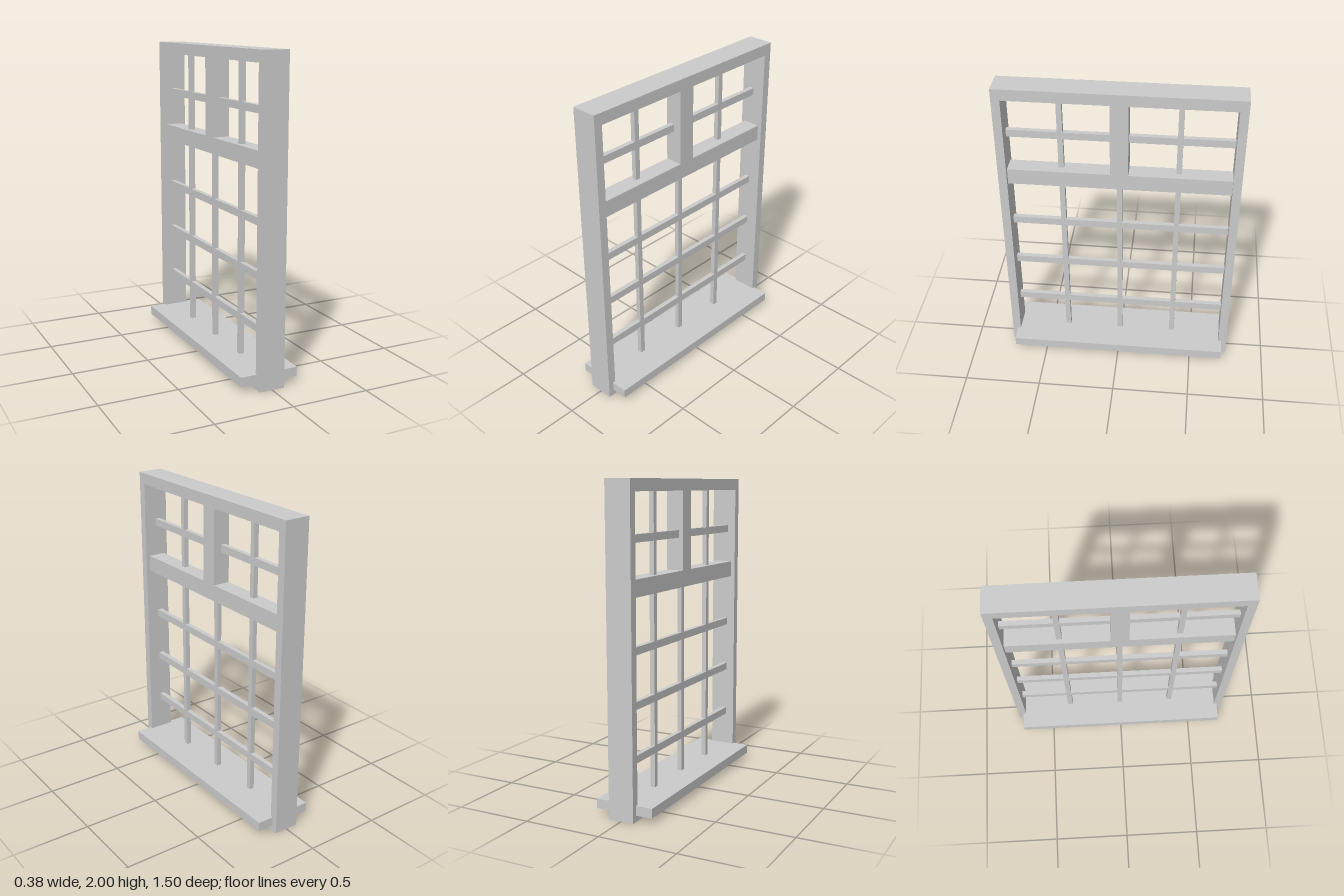
import * as THREE from 'three';

export function createModel() {
  const model = new THREE.Group();
  const material = new THREE.MeshStandardMaterial({ color: 0xcccccc, flatShading: true });

  // Box given by its extents along each axis
  function box(name, [x0, x1], [y0, y1], [z0, z1]) {
    const mesh = new THREE.Mesh(new THREE.BoxGeometry(x1 - x0, y1 - y0, z1 - z0), material);
    mesh.position.set((x0 + x1) / 2, (y0 + y1) / 2, (z0 + z1) / 2);
    mesh.name = name;
    model.add(mesh);
  }

  function rect(path, w, y0, y1) {
    path.moveTo(-w, y0);
    path.lineTo(w, y0);
    path.lineTo(w, y1);
    path.lineTo(-w, y1);
    path.closePath();
    return path;
  }

  // Outer frame: a rectangle with one opening, facing along x
  const depth = 0.165, inner = 0.696;
  const outline = rect(new THREE.Shape(), 0.75, 0, 2);
  outline.holes.push(rect(new THREE.Path(), inner, 0.07, 1.927));
  const frameGeometry = new THREE.ExtrudeGeometry(outline, { depth, bevelEnabled: false });
  frameGeometry.translate(0, 0, -depth / 2).rotateY(Math.PI / 2);
  const frame = new THREE.Mesh(frameGeometry, material);
  frame.name = 'outerFrame';
  model.add(frame);

  // Sill projecting on both sides
  box('sill', [-0.19, 0.19], [0.04, 0.1], [-0.715, 0.715]);

  // Transom and the upper mullion standing on it
  const thick = [-0.056, 0.056];
  box('transom', thick, [1.325, 1.43], [-inner, inner]);
  box('upperMullion', thick, [1.43, 1.927], [-0.056, 0.056]);

  // Thin glazing bars, set slightly off the centre plane
  const thin = [-0.028, 0.003];
  const half = 0.017;
  for (const z of [-0.365, 0, 0.365]) {
    box('lowerVerticalBar', thin, [0.1, 1.325], [z - half, z + half]);
    if (z !== 0) box('upperVerticalBar', thin, [1.43, 1.927], [z - half, z + half]);
  }
  for (const y of [0.344, 0.673, 1.002]) {
    box('lowerHorizontalBar', thin, [y - 0.024, y + 0.024], [-inner, inner]);
  }
  for (const [z0, z1] of [[-inner, -0.056], [0.056, inner]]) {
    box('upperHorizontalBar', thin, [1.635, 1.683], [z0, z1]);
  }

  return model;
}
